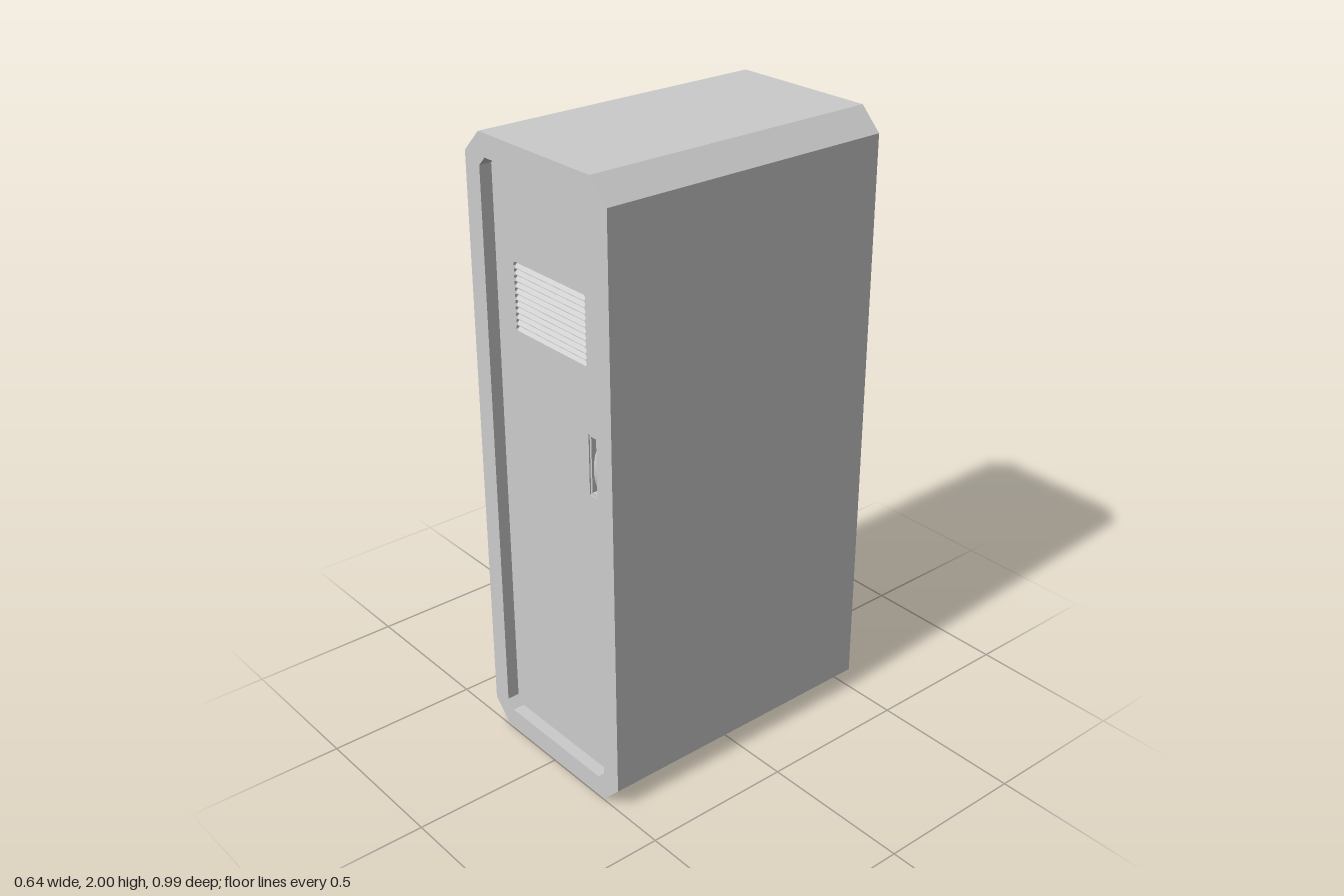
import * as THREE from 'three';

const W = 0.32, D = 0.497, PANEL = D - 0.04;

// Rectangle with cut corners, as a list of points
function cutRect(x0, x1, y0, y1, c) {
  return [[x0 + c, y0], [x1 - c, y0], [x1, y0 + c], [x1, y1 - c],
    [x1 - c, y1], [x0 + c, y1], [x0, y1 - c], [x0, y0 + c]]
    .map(([x, y]) => new THREE.Vector2(x, y));
}

function rect(x0, x1, y0, y1) {
  return [[x0, y0], [x1, y0], [x1, y1], [x0, y1]].map(([x, y]) => new THREE.Vector2(x, y));
}

// Plate with openings whose front face lies at z = front
function plate(outline, holes, depth, front) {
  const shape = new THREE.Shape(outline);
  holes.forEach((h) => shape.holes.push(new THREE.Path(h)));
  const geo = new THREE.ExtrudeGeometry(shape, { depth, bevelEnabled: false });
  return geo.translate(0, 0, front - depth);
}

export function createModel() {
  const group = new THREE.Group();
  const mat = new THREE.MeshStandardMaterial({ color: 0xcccccc, flatShading: true });
  const smooth = new THREE.MeshStandardMaterial({ color: 0xcccccc });
  const add = (name, geo, m = mat) => {
    const mesh = new THREE.Mesh(geo, m);
    mesh.name = name;
    group.add(mesh);
    return mesh;
  };

  // Cabinet shell, a chamfered tube open at front and back
  const inner = cutRect(-0.252, 0.252, 0.07, 1.93, 0.028);
  add('cabinetShell', plate(cutRect(-W, W, 0, 2, 0.07), [inner], 2 * D, D));

  // Door with a row of vent slots and a handle opening
  const slots = 11, y0 = 1.422, pitch = 0.0194, h = 0.0175, vx = 0.165;
  const slotHoles = [];
  for (let i = 0; i < slots; i++) {
    const y = y0 + i * pitch;
    slotHoles.push(cutRect(-vx, vx, y, y + h, 0.005));
  }
  const cup = rect(0.165, 0.245, 1.02, 1.215);
  add('door', plate(inner, [...slotHoles, cup], 0.035, PANEL));
  add('backPanel', plate(inner, [], 0.03, -PANEL + 0.03));

  // Sloping louvre behind each slot
  for (let i = 0; i < slots; i++) {
    const y = y0 + i * pitch;
    const wedge = new THREE.Shape([
      new THREE.Vector2(-PANEL + 0.001, y),
      new THREE.Vector2(-PANEL + 0.02, y + h),
      new THREE.Vector2(-PANEL + 0.03, y + h),
      new THREE.Vector2(-PANEL + 0.03, y)].reverse());
    const geo = new THREE.ExtrudeGeometry(wedge, { depth: 2 * vx, bevelEnabled: false });
    add('ventLouvre', geo.translate(0, 0, -vx).rotateY(Math.PI / 2));
  }

  // Handle cup: stepped rim and floor
  add('handleRim', plate(cup, [rect(0.172, 0.238, 1.028, 1.207)], 0.03, PANEL - 0.004));
  add('handleCupFloor', plate(cup, [], 0.006, PANEL - 0.029));

  // Arched pull: a bowed strip with its ends in the cup floor
  const floor = PANEL - 0.03, yc = 1.1175, half = 0.08;
  const arch = new THREE.Shape();
  arch.moveTo(-floor, yc - half);
  arch.bezierCurveTo(-floor - 0.052, yc - half, -floor - 0.052, yc + half, -floor, yc + half);
  arch.lineTo(-floor, yc + half - 0.014);
  arch.bezierCurveTo(-floor - 0.036, yc + half - 0.014, -floor - 0.036, yc - half + 0.014, -floor, yc - half + 0.014);
  const pull = new THREE.ExtrudeGeometry(arch, {
    depth: 0.022, curveSegments: 16, bevelThickness: 0.004, bevelSize: 0.003, bevelSegments: 2,
  });
  add('handlePull', pull.translate(0, 0, 0.203).rotateY(Math.PI / 2), smooth);

  return group;
}
